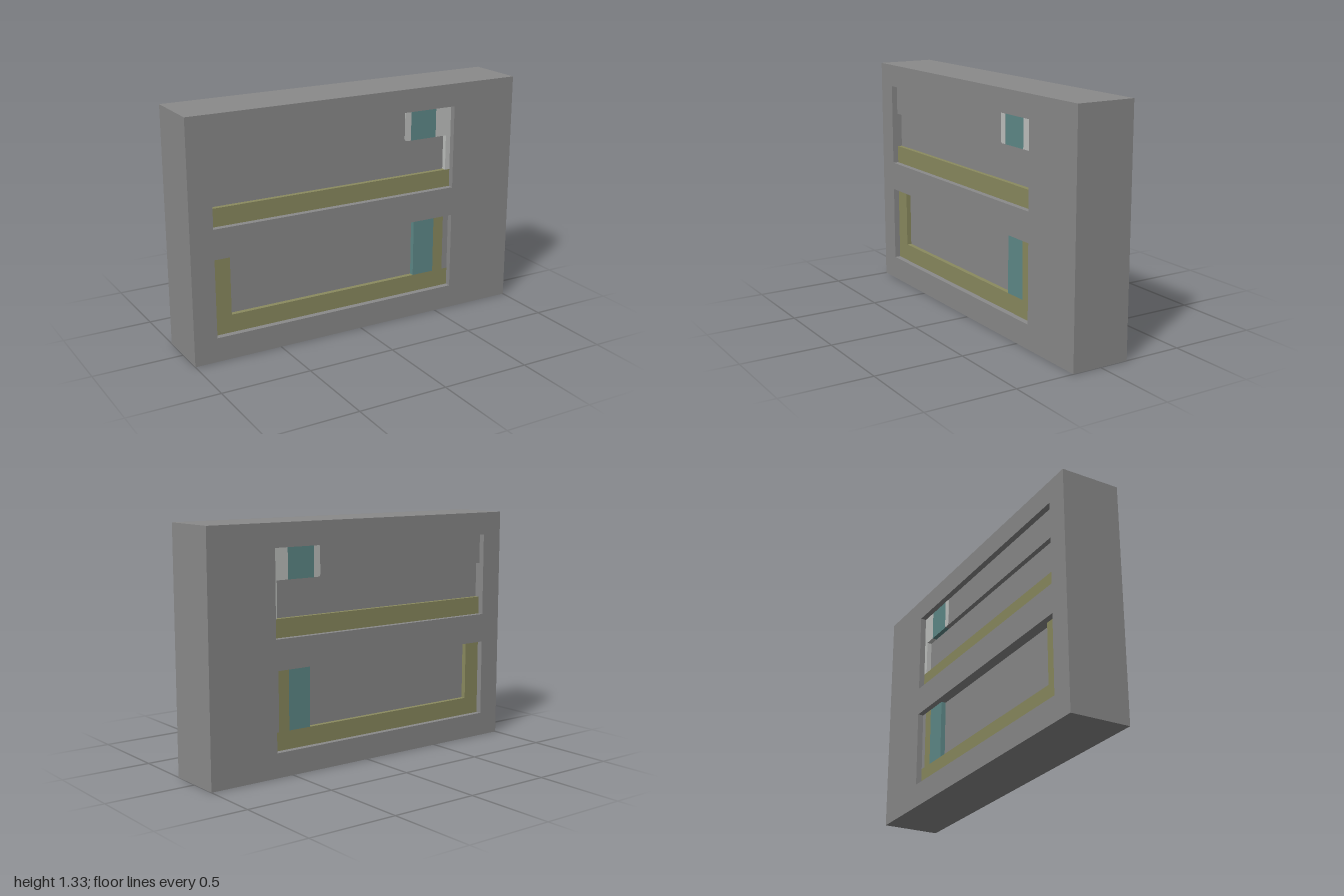
import * as THREE from 'three';

const paint = (name, color) => Object.assign(new THREE.MeshStandardMaterial({ color }), { name });

const DEPTH = 0.333; // whole slab, front to back
const PANEL = 0.267; // raised panels inside the openings
const CORE = 0.213;  // deepest surface inside the openings

export function createModel() {
  const grey = paint('grey', 0x8a8a8a);
  const olive = paint('olive', 0x8a8a5f);
  const teal = paint('teal', 0x5f8a89);
  const pale = paint('pale grey', 0xbfc1bf);

  const model = new THREE.Group();
  model.name = 'slabWithOpenings';

  const add = (name, geometry, material) => {
    const mesh = new THREE.Mesh(geometry, material);
    mesh.name = name;
    model.add(mesh);
    return mesh;
  };

  // Block given by its edges, centred on z so it shows on front and back
  const block = (name, x0, x1, y0, y1, depth, material) =>
    add(name, new THREE.BoxGeometry(x1 - x0, y1 - y0, depth), material)
      .position.set((x0 + x1) / 2, (y0 + y1) / 2, 0);

  const rectangle = (path, x0, x1, y0, y1) =>
    path.moveTo(x0, y0).lineTo(x1, y0).lineTo(x1, y1).lineTo(x0, y1).closePath();

  // Outer slab with two long openings
  const L = -0.87, R = 0.6;
  const outline = rectangle(new THREE.Shape(), -1, 1, 0, 1.333);
  for (const [y0, y1] of [[0.135, 0.57], [0.735, 1.205]]) {
    outline.holes.push(rectangle(new THREE.Path(), L, R, y0, y1));
  }
  const slab = new THREE.ExtrudeGeometry(outline, { depth: DEPTH, bevelEnabled: false });
  slab.translate(0, 0, -DEPTH / 2);
  add('slab', slab, grey);

  // Recessed core closing both openings
  block('core', -0.92, 0.65, 0.1, 1.25, CORE, grey);

  // Upper opening: band along the top, right edge, sill
  block('upperBand', L, 0.335, 1.035, 1.205, PANEL, grey);
  block('upperTealPanel', 0.335, 0.5, 1.035, 1.205, PANEL, teal);
  block('upperPalePanel', 0.5, R, 1.035, 1.205, PANEL, pale);
  block('upperPaleEdge', 0.57, R, 0.835, 1.035, PANEL, pale);
  block('upperSill', L, R, 0.735, 0.835, PANEL, olive);

  // Pale strip beside the upper teal panel, rounded on its outer corners
  const x0 = 0.295, x1 = 0.335, y0 = 1.036, y1 = 1.204, r = 0.015;
  const strip = new THREE.Shape().moveTo(x1, y0).lineTo(x1, y1).lineTo(x0 + r, y1);
  strip.quadraticCurveTo(x0, y1, x0, y1 - r).lineTo(x0, y0 + r);
  strip.quadraticCurveTo(x0, y0, x0 + r, y0);
  const stripDepth = PANEL + 0.004;
  const stripGeometry = new THREE.ExtrudeGeometry(strip, { depth: stripDepth, bevelEnabled: false });
  stripGeometry.translate(0, 0, -stripDepth / 2);
  add('upperPaleStrip', stripGeometry, pale);

  // Lower opening: sill, left post and the panels on the right
  block('lowerSill', L, R, 0.135, 0.235, PANEL, olive);
  block('lowerLeftPost', L, -0.77, 0.235, 0.57, PANEL, olive);
  block('lowerTealPanel', 0.365, 0.5, 0.235, 0.57, PANEL, teal);
  block('lowerRightPost', 0.5, 0.565, 0.235, 0.57, PANEL, olive);
  block('lowerGreyEdge', 0.565, R, 0.235, 0.57, PANEL, grey);

  return model;
}
